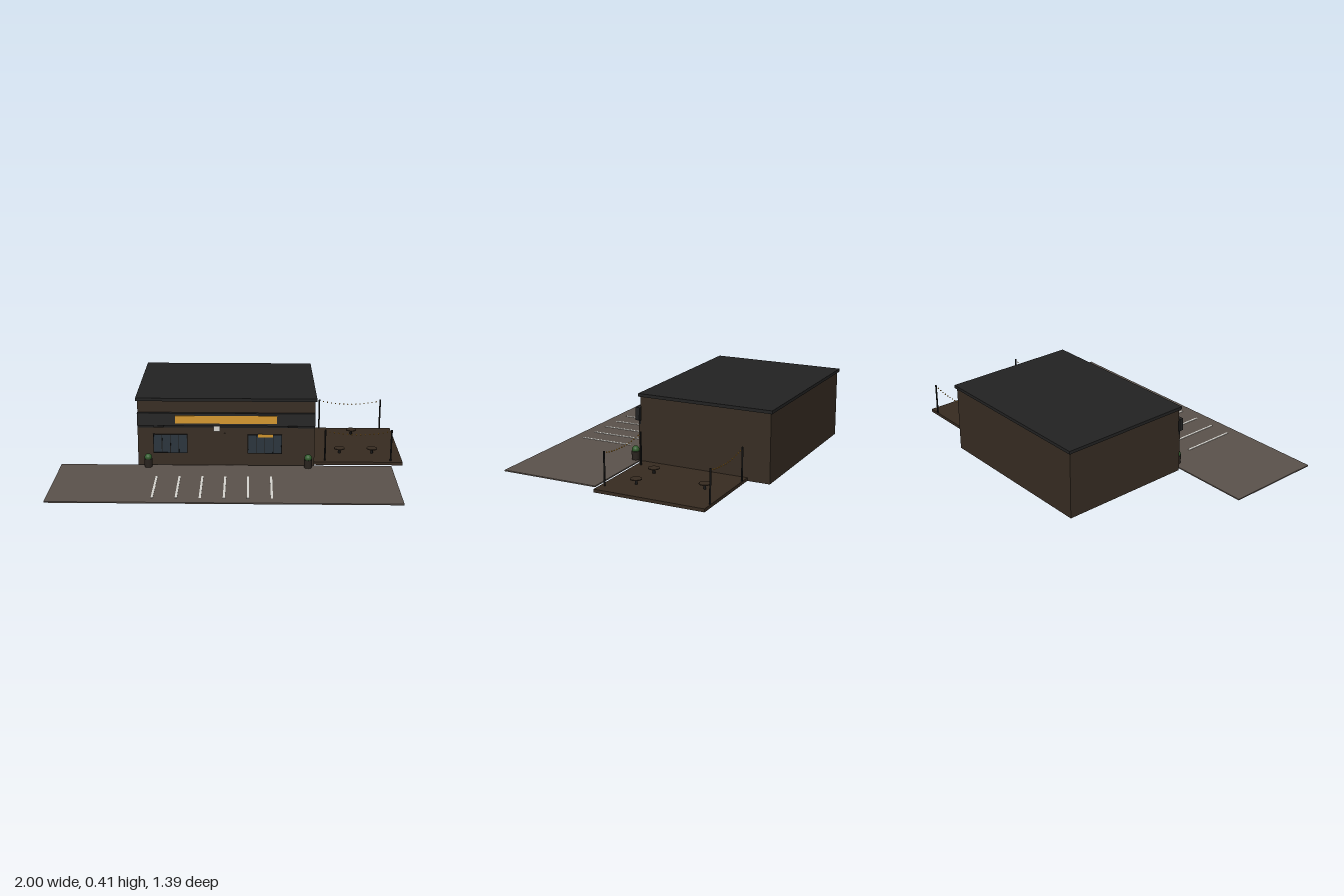
import * as THREE from 'three';

const mat = (name, color) => {
  const m = new THREE.MeshStandardMaterial({ color });
  m.name = name;
  return m;
};

export function createModel() {
  const wall = mat('brown wall', 0x382d23);
  const deckWood = mat('deck wood', 0x372b20);
  const roofing = mat('roof charcoal', 0x222222);
  const trim = mat('black trim', 0x191919);
  const sign = mat('amber', 0xd0942c);
  const glass = mat('dark glass', 0x2b353d);
  const paving = mat('paving', 0x5b524b);
  const white = mat('off white', 0xd6d5cf);
  const leaf = mat('leaf green', 0x2f5a2b);
  const pot = mat('pot brown', 0x2a241f);

  const model = new THREE.Group();
  model.name = 'cafeBuilding';

  const add = (name, geo, material, x = 0, y = 0, z = 0, parent = model) => {
    const mesh = new THREE.Mesh(geo, material);
    mesh.name = name;
    mesh.position.set(x, y, z);
    parent.add(mesh);
    return mesh;
  };
  // Box given by its limits on each axis
  const box = (name, material, x0, x1, y0, y1, z0, z1, parent = model) =>
    add(name, new THREE.BoxGeometry(x1 - x0, y1 - y0, z1 - z0), material,
      (x0 + x1) / 2, (y0 + y1) / 2, (z0 + z1) / 2, parent);
  const group = (name) => {
    const g = new THREE.Group();
    g.name = name;
    model.add(g);
    return g;
  };

  // Building shell
  box('walls', wall, -0.55, 0.48, 0, 0.39, -0.69, 0.087);
  box('roof', roofing, -0.56, 0.49, 0.39, 0.408, -0.70, 0.097);
  box('lowerFacade', wall, -0.55, 0.48, 0, 0.232, 0.087, 0.1);
  box('facadeLedge', trim, -0.55, 0.48, 0.232, 0.25, 0.087, 0.1);

  // Leaning fascia with the blank amber sign
  const fascia = group('fascia');
  fascia.position.set(-0.035, 0.287, 0.11);
  fascia.rotation.x = -0.06;
  box('fasciaBoard', roofing, -0.515, 0.515, -0.037, 0.037, -0.013, 0.011, fascia);
  box('signPanel', sign, -0.295, 0.295, -0.023, 0.023, 0.011, 0.014, fascia);

  // Lamp over the door and spotlights under the fascia
  box('doorLamp', white, -0.108, -0.07, 0.22, 0.25, 0.1, 0.135);
  for (const x of [-0.425, 0.35]) box('spotlight', trim, x - 0.028, x + 0.028, 0.242, 0.252, 0.1, 0.13);

  // Door
  box('door', wall, -0.14, -0.04, 0.003, 0.2, 0.1, 0.104);

  // Windows with mullions
  for (const x of [-0.36, 0.19]) {
    const win = group('window');
    win.position.set(x, 0.135, 0.1);
    box('glass', glass, -0.098, 0.098, -0.056, 0.056, 0, 0.005, win);
    for (const y of [-0.056, 0.056]) box('windowRail', trim, -0.1, 0.1, y - 0.002, y + 0.002, 0, 0.009, win);
    for (let i = 0; i < 5; i++) {
      const px = -0.098 + i * 0.049;
      box('mullion', trim, px - 0.002, px + 0.002, -0.056, 0.056, 0, 0.009, win);
    }
  }
  box('windowSign', sign, 0.15, 0.238, 0.178, 0.197, 0.109, 0.113);

  // Forecourt with painted bay lines
  box('forecourt', paving, -1, 0.93, 0, 0.007, 0.115, 0.695);
  for (let i = 0; i < 6; i++) {
    const x = -0.425 + i * 0.13;
    box('bayLine', white, x - 0.006, x + 0.006, 0.007, 0.0095, 0.305, 0.632);
  }

  // Planters with round shrubs
  for (const x of [-0.487, 0.442]) {
    const planter = group('planter');
    planter.position.set(x, 0.007, 0.145);
    add('pot', new THREE.CylinderGeometry(0.024, 0.022, 0.05, 16), pot, 0, 0.025, 0, planter);
    add('shrub', new THREE.SphereGeometry(0.022, 16, 12), leaf, 0, 0.058, 0, planter);
  }

  // Side deck and tables
  box('deck', deckWood, 0.48, 1, 0, 0.018, -0.56, 0.08);
  for (const [x, z] of [[0.74, -0.435], [0.64, -0.08], [0.835, -0.08]]) {
    const table = group('table');
    table.position.set(x, 0.018, z);
    add('tableLeg', new THREE.CylinderGeometry(0.007, 0.007, 0.028, 10), trim, 0, 0.014, 0, table);
    add('tableTop', new THREE.CylinderGeometry(0.032, 0.032, 0.005, 24), deckWood, 0, 0.03, 0, table);
  }

  // Posts with sagging rows of bulbs
  const bulb = new THREE.SphereGeometry(0.0042, 8, 6);
  for (const z of [0.053, -0.558]) {
    const lights = group('stringLights');
    for (const x of [0.545, 0.932])
      add('post', new THREE.CylinderGeometry(0.005, 0.005, 0.19, 10), trim, x, 0.113, z, lights);
    for (let i = 1; i < 15; i++) {
      const t = i / 15;
      add('bulb', bulb, sign, 0.545 + 0.387 * t, 0.2 - 0.088 * t * (1 - t), z, lights);
    }
  }
  return model;
}
